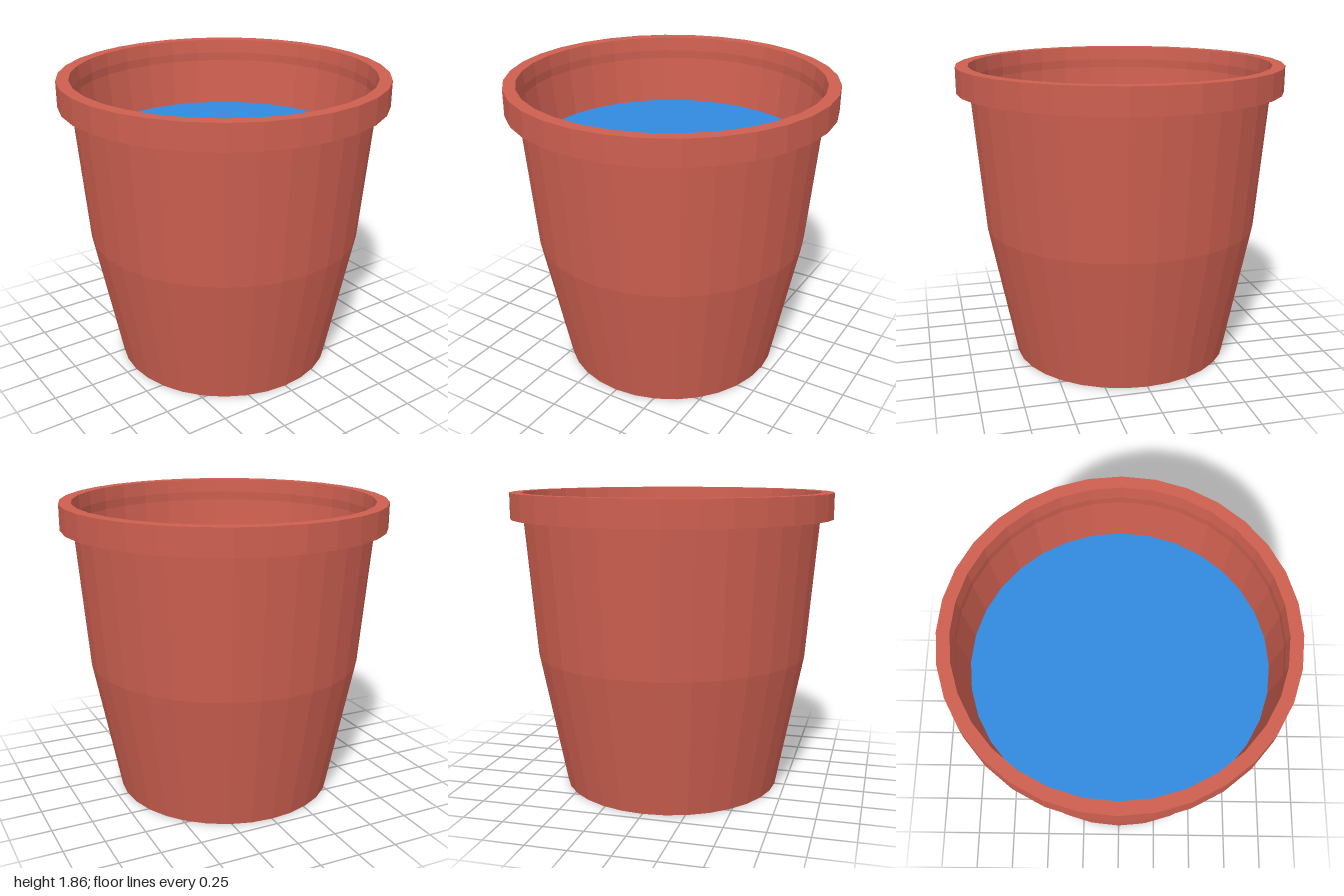
import * as THREE from 'three';

const SIDES = 32;

// Faceted surface of revolution from [radius, height] pairs
function lathe(name, profile, color) {
  const points = profile.map(([r, y]) => new THREE.Vector2(r, y));
  const material = new THREE.MeshStandardMaterial({ color, flatShading: true });
  const mesh = new THREE.Mesh(new THREE.LatheGeometry(points, SIDES), material);
  mesh.name = name;
  return mesh;
}

export function createModel() {
  const group = new THREE.Group();
  group.name = 'waterFilledPot';
  const clay = 0xcd5f50;

  // Tapered outer wall with a closed base
  group.add(lathe('body', [[0, 0], [0.685, 0], [0.85, 0.85], [0.92, 1.7]], clay));

  // Overhanging collar: underside, outer band and top lip
  group.add(lathe('rim', [[0.92, 1.7], [1, 1.7], [1, 1.857], [0.925, 1.857]], clay));

  // Inner wall, with a slight undercut below the lip, down to the water
  group.add(lathe('innerWall', [[0.925, 1.857], [0.915, 1.77], [0.918, 1.715], [0.88, 1.42]], clay));

  // Water surface
  const water = new THREE.Mesh(
    new THREE.CircleGeometry(0.88, SIDES),
    new THREE.MeshStandardMaterial({ color: 0x3189dd })
  );
  water.name = 'water';
  water.rotation.x = -Math.PI / 2;
  water.position.y = 1.42;
  group.add(water);

  return group;
}
